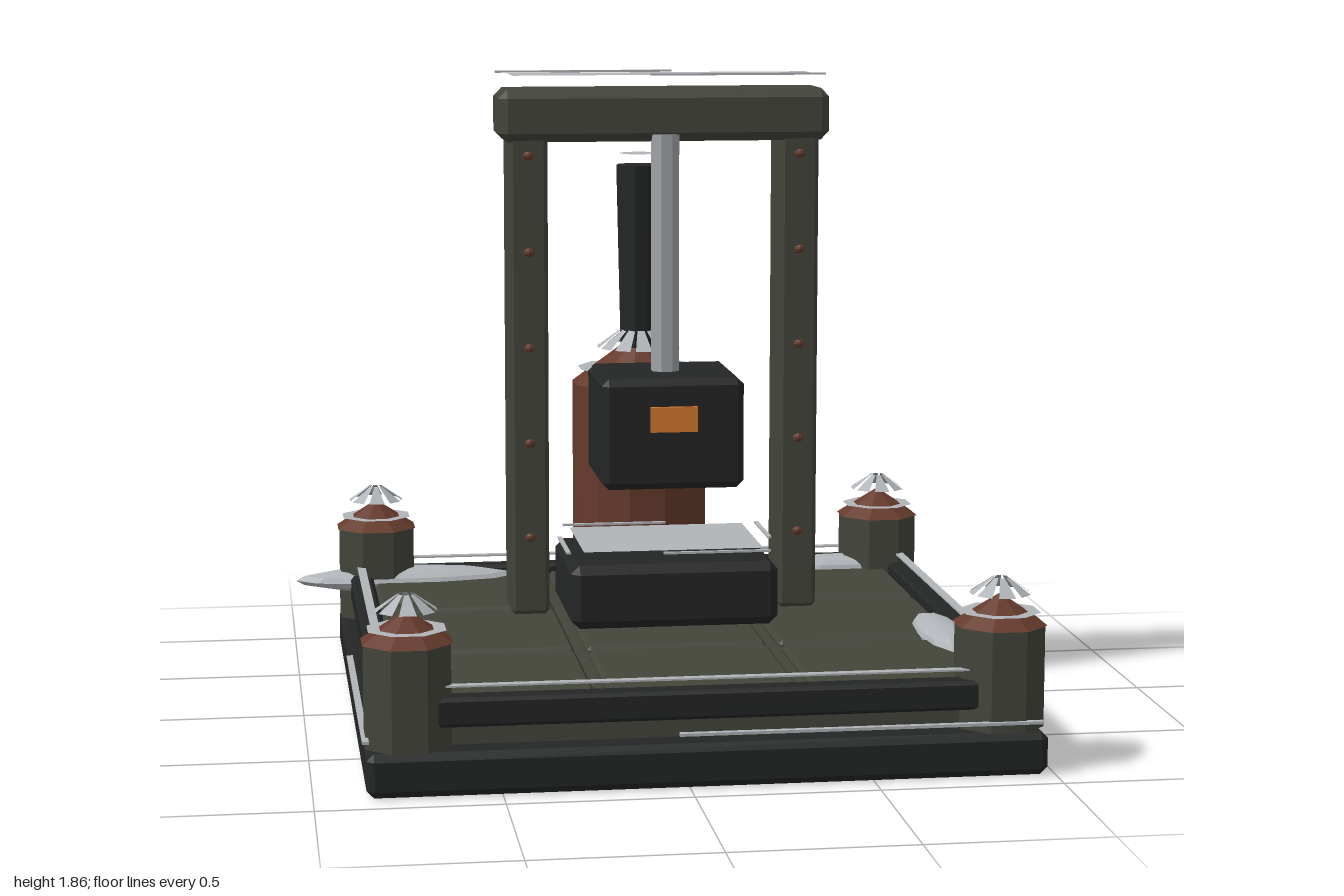
import * as THREE from 'three';
import { ConvexGeometry } from 'three/addons/geometries/ConvexGeometry.js';

const CX = 0.06; // the platform sits slightly to the model's left

function material(name, color, extra = {}) {
  const m = new THREE.MeshStandardMaterial({ color, flatShading: true, ...extra });
  m.name = name;
  return m;
}

export function createModel() {
  const root = new THREE.Group();
  root.name = 'steamPress';
  const olive = material('olive steel', 0x43453b);
  const black = material('black iron', 0x242525);
  const rust = material('rust brown', 0x663a2c);
  const snow = material('grey snow', 0xb0b4b8, { side: THREE.DoubleSide });
  const steel = material('bright steel', 0xa2a4a9);
  const orange = material('orange glow', 0xd4772c);

  function add(name, geometry, mat, x = 0, y = 0, z = 0, parent = root) {
    const mesh = new THREE.Mesh(geometry, mat);
    mesh.name = name;
    mesh.position.set(x, y, z);
    parent.add(mesh);
    return mesh;
  }

  // Box with chamfered edges, given its size and its chamfer
  function chamferBox(w, h, d, c) {
    const points = [];
    const half = [w / 2, h / 2, d / 2];
    for (const sx of [-1, 1]) for (const sy of [-1, 1]) for (const sz of [-1, 1]) {
      for (let axis = 0; axis < 3; axis++) {
        const p = half.map((v, i) => (i === axis ? v : v - c));
        points.push(new THREE.Vector3(p[0] * sx, p[1] * sy, p[2] * sz));
      }
    }
    return new ConvexGeometry(points);
  }

  // Chamfered box placed by its base height
  function block(name, mat, w, h, d, c, x, y, z) {
    return add(name, chamferBox(w, h, d, c), mat, x, y + h / 2, z);
  }

  function prism(rTop, rBottom, h, sides) {
    return new THREE.CylinderGeometry(rTop, rBottom, h, sides).rotateY(Math.PI / sides);
  }

  // Ring of separate sloping flakes from (r0, y0) up to (r1, y1)
  function flakes(n, r0, y0, r1, y1, fill) {
    const pos = [];
    const half = (Math.PI / n) * fill;
    for (let i = 0; i < n; i++) {
      const a = (i / n) * Math.PI * 2;
      const at = (r, y, t) => [r * Math.sin(t), y, r * Math.cos(t)];
      const p = at(r0, y0, a - half), q = at(r0, y0, a + half);
      const s = at(r1, y1, a + half), t = at(r1, y1, a - half);
      pos.push(...p, ...q, ...s, ...p, ...s, ...t);
    }
    const g = new THREE.BufferGeometry();
    g.setAttribute('position', new THREE.Float32BufferAttribute(pos, 3));
    g.computeVertexNormals();
    return g;
  }

  const disc = (r, n) => new THREE.CircleGeometry(r, n).rotateX(-Math.PI / 2).rotateY(Math.PI / n);
  const sheet = (w, d) => new THREE.PlaneGeometry(w, d).rotateX(-Math.PI / 2);

  // Platform and its tiled floor
  block('base', black, 1.84, 0.12, 1.84, 0.02, CX, 0, 0);
  add('floorSlab', new THREE.BoxGeometry(1.66, 0.1, 1.66), olive, CX, 0.17, 0);
  for (let i = -1; i <= 1; i++) for (let j = -1; j <= 1; j++) {
    block('floorTile', olive, 0.52, 0.05, 0.52, 0.012, CX + i * 0.555, 0.19, j * 0.555);
  }

  // One side of the platform, repeated four times
  for (let k = 0; k < 4; k++) {
    const side = new THREE.Group();
    side.name = 'platformSide';
    side.position.x = CX;
    side.rotation.y = k * Math.PI / 2;
    root.add(side);
    add('rail', chamferBox(1.5, 0.08, 0.07, 0.01), black, 0, 0.22, 0.855, side);
    add('railSnow', new THREE.BoxGeometry(1.46, 0.005, 0.025), snow, 0, 0.287, 0.857, side);
    add('edgeSnow', new THREE.BoxGeometry(0.99, 0.008, 0.018), snow, 0.405, 0.15, 0.921, side);

    // Corner tower with its snowy roof
    const tower = new THREE.Group();
    tower.name = 'cornerTower';
    tower.position.set(0.805, 0, 0.805);
    side.add(tower);
    add('towerBody', prism(0.124, 0.124, 0.28, 8), olive, 0, 0.26, 0, tower);
    add('towerRoof', prism(0, 0.13, 0.085, 8), rust, 0, 0.4425, 0, tower);
    add('towerSnowDisc', disc(0.112, 8), snow, 0, 0.435, 0, tower);
    add('towerSnow', flakes(8, 0.085, 0.484, 0.022, 0.528, 0.72), snow, 0, 0, 0, tower);
  }

  // Press frame: posts with rivets, and a cross beam
  for (const s of [-1, 1]) {
    const x = CX + s * 0.395;
    block('framePost', olive, 0.112, 1.4, 0.18, 0.012, x, 0.28, -0.09);
    for (let i = 0; i < 5; i++) {
      add('rivet', new THREE.SphereGeometry(0.016, 8, 6).scale(1, 0.8, 0.7), rust, x, 0.51 + i * 0.278, 0);
    }
  }
  block('crossBeam', olive, 0.96, 0.15, 0.22, 0.025, CX, 1.66, -0.09);
  add('beamSnow', sheet(0.88, 0.17), snow, CX, 1.85, -0.09);
  add('beamFrontSnow', new THREE.BoxGeometry(0.51, 0.006, 0.012), snow, 0.27, 1.852, 0.014);
  add('beamBackSnow', new THREE.BoxGeometry(0.52, 0.006, 0.012), snow, -0.15, 1.852, -0.222);

  // Ram, hammer head and anvil
  add('ramRod', prism(0.042, 0.042, 0.7, 8), steel, CX, 1.33, 0);
  block('hammerHead', black, 0.41, 0.32, 0.37, 0.02, CX, 0.675, 0);
  add('glowPlate', new THREE.BoxGeometry(0.135, 0.072, 0.015), orange, CX, 0.88, 0.192);
  block('anvil', black, 0.6, 0.185, 0.46, 0.025, CX, 0.28, 0);
  add('anvilSnow', sheet(0.52, 0.38), snow, CX, 0.5, 0);
  for (const s of [-1, 1]) {
    add('anvilEdgeSnow', new THREE.BoxGeometry(0.31, 0.006, 0.012), snow, CX + s * 0.12, 0.5, s * 0.23);
    add('anvilSideSnow', new THREE.BoxGeometry(0.012, 0.006, 0.24), snow, CX + s * 0.305, 0.5, -s * 0.08);
  }

  // Boiler with its chimney
  const boiler = new THREE.Group();
  boiler.name = 'boiler';
  boiler.position.set(CX, 0, -0.575);
  root.add(boiler);
  add('boilerBody', prism(0.207, 0.207, 0.6, 12), rust, 0, 0.58, 0, boiler);
  add('boilerShoulder', prism(0.06, 0.207, 0.11, 12), rust, 0, 0.935, 0, boiler);
  add('boilerSnowDisc', disc(0.19, 12), snow, 0, 0.925, 0, boiler);
  add('shoulderSnow', flakes(12, 0.13, 0.988, 0.055, 1.043, 0.75), snow, 0, 0, 0, boiler);
  add('chimney', prism(0.069, 0.056, 0.57, 10), black, 0, 1.265, 0, boiler);
  add('chimneySnow', disc(0.06, 10), snow, 0, 1.585, 0, boiler);

  // Low snow drifts: x, z, half length, half width
  const drifts = [[-0.655, -0.77, 0.345, 0.09], [0.73, -0.775, 0.23, 0.07],
    [0.84, 0.23, 0.07, 0.245], [-0.69, 0.455, 0.09, 0.205]];
  for (const [x, z, rx, rz] of drifts) {
    add('snowDrift', new THREE.SphereGeometry(1, 10, 8).scale(rx, 0.038, rz), snow, x, 0.238, z);
  }
  return root;
}
